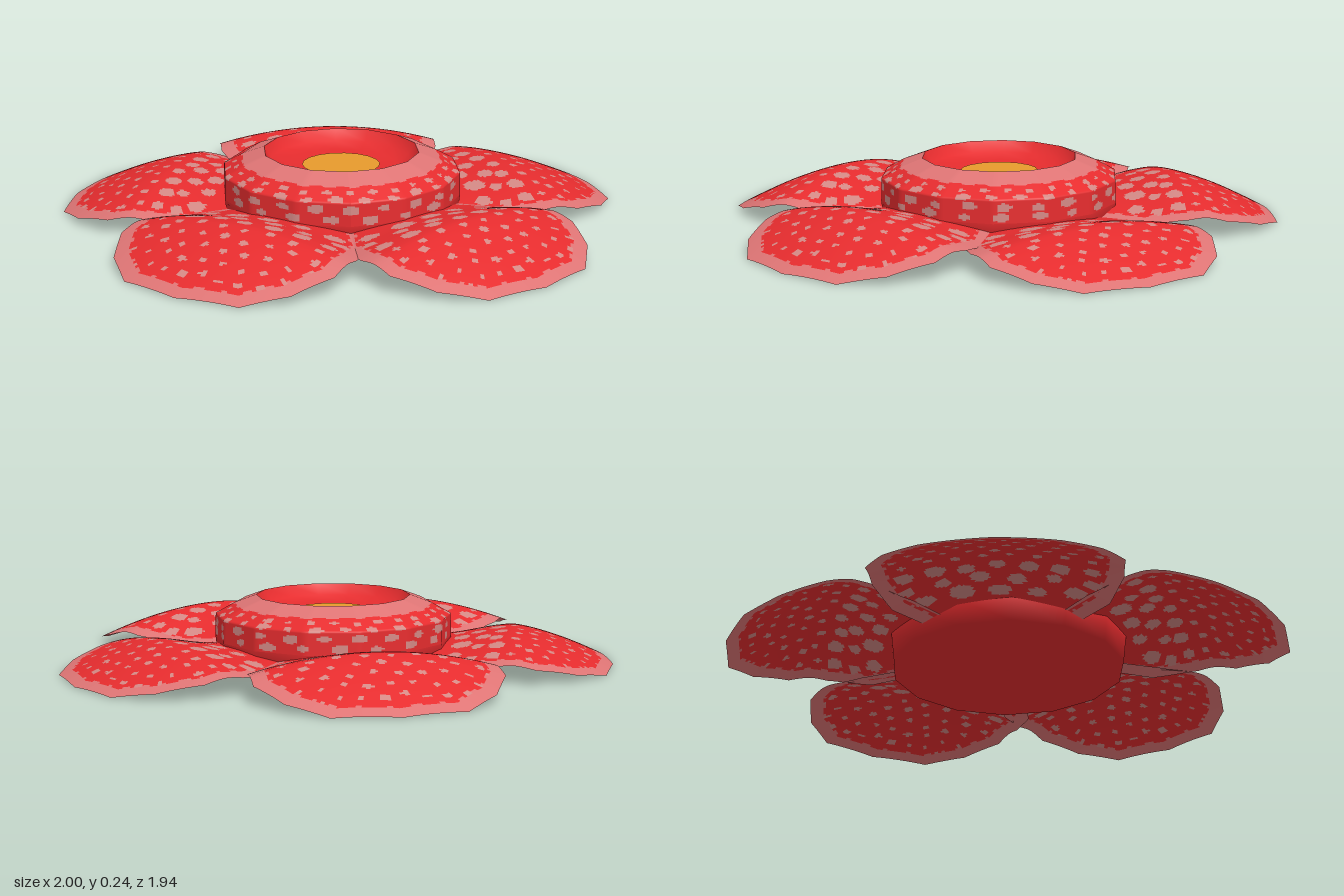
import * as THREE from 'three';

const SIDES = 14;
const TAU = Math.PI * 2;

function lerpTable(table, x) {
  for (let i = 1; i < table.length; i++) {
    const [x0, y0] = table[i - 1], [x1, y1] = table[i];
    if (x <= x1) return y0 + (y1 - y0) * Math.max(0, (x - x0) / (x1 - x0));
  }
  return table[table.length - 1][1];
}

// Grid over point(u, v); paint(u, v) picks the material index of each cell
function paintedSurface(point, nu, nv, paint) {
  const pos = [], lists = [[], [], []], row = nu + 1;
  for (let j = 0; j <= nv; j++)
    for (let i = 0; i <= nu; i++) pos.push(...point(i / nu, j / nv));
  for (let j = 0; j < nv; j++)
    for (let i = 0; i < nu; i++) {
      const a = j * row + i, b = a + 1;
      lists[paint((i + 0.5) / nu, (j + 0.5) / nv)].push(a, a + row, b, b, a + row, b + row);
    }
  const g = new THREE.BufferGeometry();
  g.setAttribute('position', new THREE.Float32BufferAttribute(pos, 3));
  g.setIndex(lists.flat());
  let start = 0;
  lists.forEach((list, k) => {
    g.addGroup(start, list.length, k);
    start += list.length;
  });
  g.computeVertexNormals();
  return g;
}

// Half outline of a petal: distance from the flower centre, half width
const OUTLINE = [[0.28, 0.0], [0.3, 0.27], [0.43, 0.37], [0.59, 0.42], [0.735, 0.425],
  [0.875, 0.35], [0.98, 0.225], [1.015, 0]];
const LOOP = [...OUTLINE, ...OUTLINE.slice(0, -1).reverse().map(([r, w]) => [r, -w])];
// Height along the middle of a petal
const CREST = new THREE.SplineCurve([[0.25, 0.075], [0.44, 0.1], [0.6, 0.135], [0.69, 0.135],
  [0.845, 0.083], [1.015, 0]].map(p => new THREE.Vector2(...p)))
  .getPoints(40).map(p => [p.x, p.y]);

// u runs round the outline, v from the petal middle to its edge; gives [r, t]
function petalPlan(u, v) {
  const f = u * (LOOP.length - 1), i = Math.min(Math.floor(f), LOOP.length - 2), k = f - i;
  const r = LOOP[i][0] + (LOOP[i + 1][0] - LOOP[i][0]) * k;
  const t = LOOP[i][1] + (LOOP[i + 1][1] - LOOP[i][1]) * k;
  return [0.66 + (r - 0.66) * v, t * v];
}

function petalPoint(u, v) {
  const [r, t] = petalPlan(u, v);
  return [t, Math.max(0, lerpTable(CREST, r) - 0.34 * t * t), -r];
}

// Rows of spots [distance, size, gap], large near the centre and small near the tip
function petalSpots() {
  const rows = [[0.47, 0.037, 0.128], [0.54, 0.03, 0.125], [0.605, 0.031, 0.105], [0.675, 0.016, 0.09],
    [0.735, 0.015, 0.085], [0.795, 0.014, 0.08], [0.855, 0.013, 0.075], [0.915, 0.013, 0.07]];
  const spots = [];
  rows.forEach(([r, size, gap], row) => {
    for (let i = -6; i <= 6; i++) {
      const t = (i + (row % 2) / 2) * gap;
      spots.push([r - 0.25 * t * t + 0.01 * Math.sin(i * 2.3 + row), t,
        size * (1 + 0.15 * Math.sin(i * 1.7 + row * 2.1))]);
    }
  });
  return spots;
}

function petalGeometry() {
  const spots = petalSpots();
  return paintedSurface(petalPoint, 140, 42, (u, v) => {
    if (v > 0.875 + 0.012 * Math.sin(u * 190)) return 1;
    const [r, t] = petalPlan(u, v);
    return spots.some(s => Math.hypot((s[0] - r) * 1.2, s[1] - t) < s[2]) ? 2 : 0;
  });
}

// Outer side of the central ring: share of the way up, radius, height
const RING = [[0, 0.43, 0.09], [0.4, 0.428, 0.172], [0.7, 0.36, 0.21], [1, 0.28, 0.24]];
const ringRadius = v => lerpTable(RING.map(p => [p[0], p[1]]), v);
const ringHeight = v => lerpTable(RING.map(p => [p[0], p[2]]), v);

function ringPoint(u, v) {
  const angle = -u * TAU, step = TAU / SIDES;
  const local = ((angle % step) + step) % step - step / 2;
  const r = ringRadius(v) * Math.cos(step / 2) / Math.cos(local);
  return [r * Math.sin(angle), ringHeight(v), r * Math.cos(angle)];
}

// Rows of spots round the ring, smaller towards the pale lip
function ringGeometry() {
  const spots = [];
  [[0.1, 20, 0.065], [0.27, 22, 0.065], [0.44, 26, 0.055], [0.58, 30, 0.04]]
    .forEach(([v, count, size], row) => {
      for (let i = 0; i < count; i++)
        spots.push([(i + 0.5 + (row % 2) / 2) / count, v + 0.015 * Math.sin(i * 1.9 + row),
          size * (1 + 0.2 * Math.sin(i * 2.7 + row))]);
    });
  return paintedSurface(ringPoint, SIDES * 14, 40, (u, v) => {
    if (v > 0.69 + 0.02 * Math.sin(u * 150)) return 1;
    return spots.some(s => {
      const du = Math.abs(s[0] - u);
      return Math.hypot(Math.min(du, 1 - du) * 6.5, s[1] - v) < s[2];
    }) ? 2 : 0;
  });
}

export function createModel() {
  const material = (name, color) =>
    new THREE.MeshStandardMaterial({ name, color, side: THREE.DoubleSide });
  const red = material('petal red', 0xe62c2e);
  const pink = material('margin pink', 0xdf7575);
  const pale = material('spot pink', 0xd48985);
  const orange = material('centre orange', 0xf6a430);
  const painted = [red, pink, pale];

  const flower = new THREE.Group();
  flower.name = 'flower';
  flower.position.z = 0.045;
  const add = (name, geometry, mat) => {
    const mesh = new THREE.Mesh(geometry, mat);
    mesh.name = name;
    flower.add(mesh);
    return mesh;
  };

  // Five drooping spotted petals with pale margins, the two side ones a little flatter
  const petalGeo = petalGeometry();
  [1, 0.84, 1, 1, 0.84].forEach((height, i) => {
    const petal = add('petal' + (i + 1), petalGeo, painted);
    petal.rotation.y = i * TAU / 5;
    petal.scale.y = height;
  });

  // Spotted central ring with pale lip, closed base and shallow bowl
  const lathe = pts => new THREE.LatheGeometry(pts.map(p => new THREE.Vector2(...p)), SIDES);
  add('ring', ringGeometry(), painted);
  add('ringBase', lathe([[0, 0], [0.42, 0], [0.43, 0.09]]), red);
  add('bowl', lathe([[0.28, 0.24], [0.255, 0.2], [0.2, 0.183], [0, 0.178]]), red);

  // Orange disc in the bowl
  const disc = add('centreDisc', new THREE.CircleGeometry(0.14, 18), orange);
  disc.rotation.x = -Math.PI / 2;
  disc.position.y = 0.186;

  const model = new THREE.Group();
  model.name = 'model';
  model.add(flower);
  return model;
}
